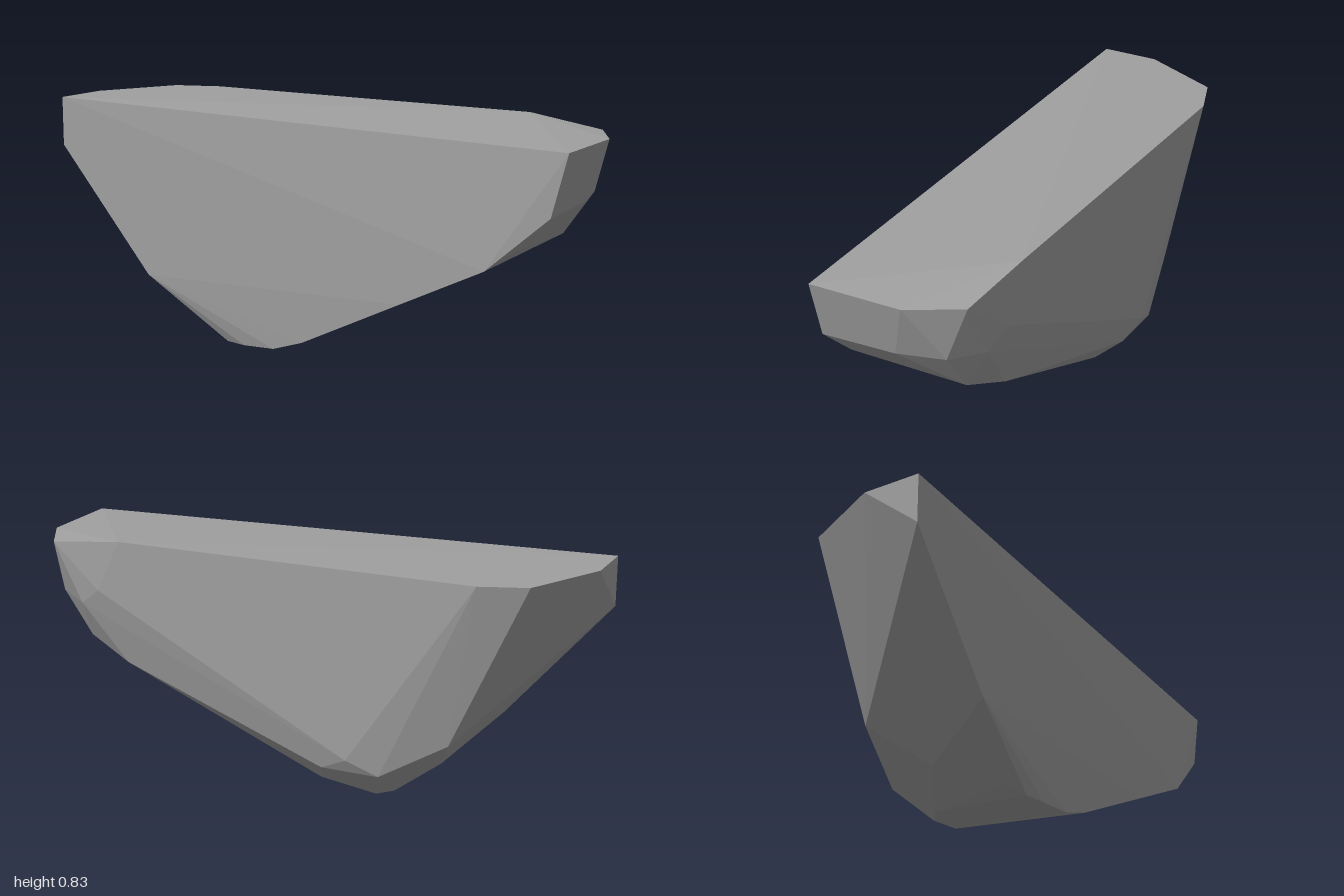
import * as THREE from 'three';
import { ConvexGeometry } from 'three/addons/geometries/ConvexGeometry.js';

export function createModel() {
  const group = new THREE.Group();
  group.name = 'rock';
  const stone = new THREE.MeshStandardMaterial({ color: 0xa0a0a0, flatShading: true });
  stone.name = 'grey stone';

  // flat upper face, dipping a little toward the left end
  const rim = [
    [-1, 0.835, 0.277], [-1, 0.835, 0.07], [-0.86, 0.835, -0.22], [-0.7, 0.835, -0.278],
    [0.61, 0.835, -0.278], [0.89, 0.8, -0.253], [0.99, 0.8, -0.08], [1, 0.8, 0.247],
  ];
  // corners of the front face
  const front = [
    [-1, 0.66, 0.277], [-0.62, 0.22, 0.277], [0.42, 0.25, 0.277], [0.73, 0.4, 0.277],
    [0.03, 0.06, 0.267], [-0.09, 0.02, 0.264],
  ];
  // chipped left end
  const leftEnd = [
    [0.945, 0.59, 0.25], [0.94, 0.6, -0.02], [0.9, 0.605, -0.18],
    [0.82, 0.468, 0.235], [0.79, 0.45, -0.18],
  ];
  // chamfered lower back edge
  const back = [
    [0.7, 0.65, -0.277], [0.78, 0.59, -0.255], [0.62, 0.38, -0.22], [-0.25, 0.17, -0.275],
    [-0.36, 0.12, -0.25], [-0.15, 0.12, -0.25], [-0.59, 0.25, -0.2], [-0.11, 0.045, -0.16],
  ];
  // blunt lower tip
  const tip = [
    [-0.3, 0, -0.12], [-0.35, 0.005, -0.08], [-0.49, 0.1, 0],
    [-0.36, 0.04, 0.2], [-0.3, 0.012, 0.24], [-0.22, 0.012, 0.255],
  ];

  const points = [rim, front, leftEnd, back, tip].flat().map((p) => new THREE.Vector3(...p));
  const body = new THREE.Mesh(new ConvexGeometry(points), stone);
  body.name = 'stoneBody';
  group.add(body);
  return group;
}
